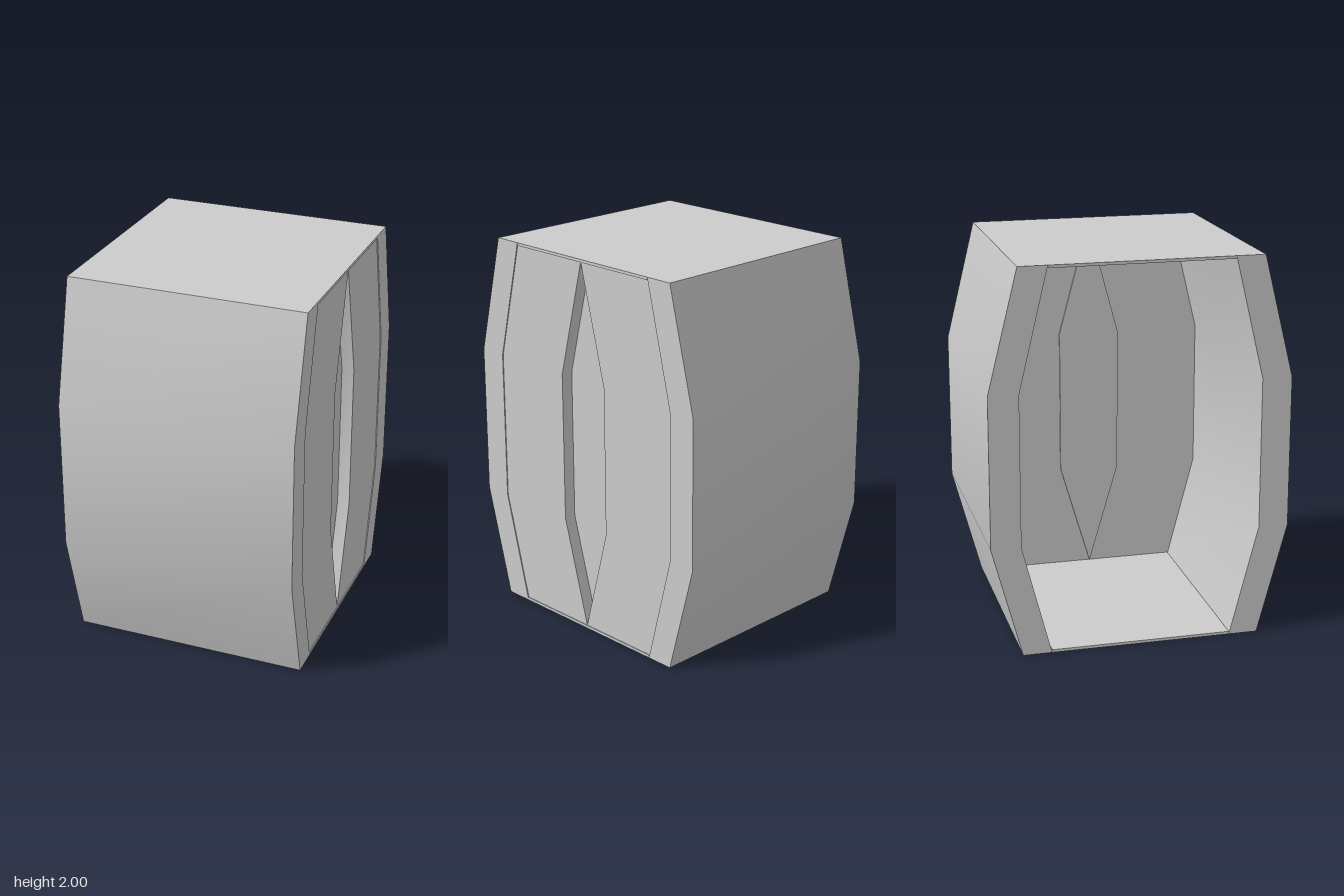
import * as THREE from 'three';
import { toCreasedNormals } from 'three/addons/utils/BufferGeometryUtils.js';

const W = 0.62; // half width in x
const material = new THREE.MeshStandardMaterial({ color: 0xcccccc, side: THREE.DoubleSide });

// Extrudes a [z, y] outline from x0 to x1, smooth over the shallow bends
function addAcross(parent, name, outline, x0, x1) {
  const shape = new THREE.Shape(outline.map(([z, y]) => new THREE.Vector2(-z, y)));
  const geometry = new THREE.ExtrudeGeometry(shape, { depth: x1 - x0, bevelEnabled: false });
  geometry.translate(0, 0, x0).rotateY(Math.PI / 2);
  const mesh = new THREE.Mesh(toCreasedNormals(geometry, 0.5), material);
  mesh.name = name;
  parent.add(mesh);
}

// Outlines of the front half; the back half mirrors z
const wall = [[0.47, 0], [0.62, 0], [0.775, 0.58], [0.775, 1.37], [0.62, 2], [0.47, 2], [0.62, 1.37], [0.62, 0.58]];
const panel = [[0, 0.015], [0.473, 0.015], [0.62, 0.58], [0.62, 1.37], [0.473, 1.985], [0, 1.985], [0.155, 1.37], [0.155, 0.58]];
// Pointed outline behind the gap between the two panels
const recess = [[0, 0.015], [0.165, 0.58], [0.165, 1.37], [0, 1.985], [-0.165, 1.37], [-0.165, 0.58]];

export function createModel() {
  const model = new THREE.Group();
  model.name = 'bandShell';

  // Thick bent walls and the flat end panels between them
  for (const side of [1, -1]) {
    const label = side > 0 ? 'front' : 'back';
    const mirrored = (outline) => outline.map(([z, y]) => [side * z, y]);
    addAcross(model, `${label}Wall`, mirrored(wall), -W, W);
    addAcross(model, `${label}EndPanel`, mirrored(panel), 0.55, 0.615);
  }
  addAcross(model, 'recessPlate', recess, 0.54, 0.55);

  // Thin plates closing the top and bottom
  for (const [name, y] of [['bottomPlate', 0], ['topPlate', 1.985]]) {
    addAcross(model, name, [[-0.47, y], [0.47, y], [0.47, y + 0.015], [-0.47, y + 0.015]], -W, W);
  }
  return model;
}
